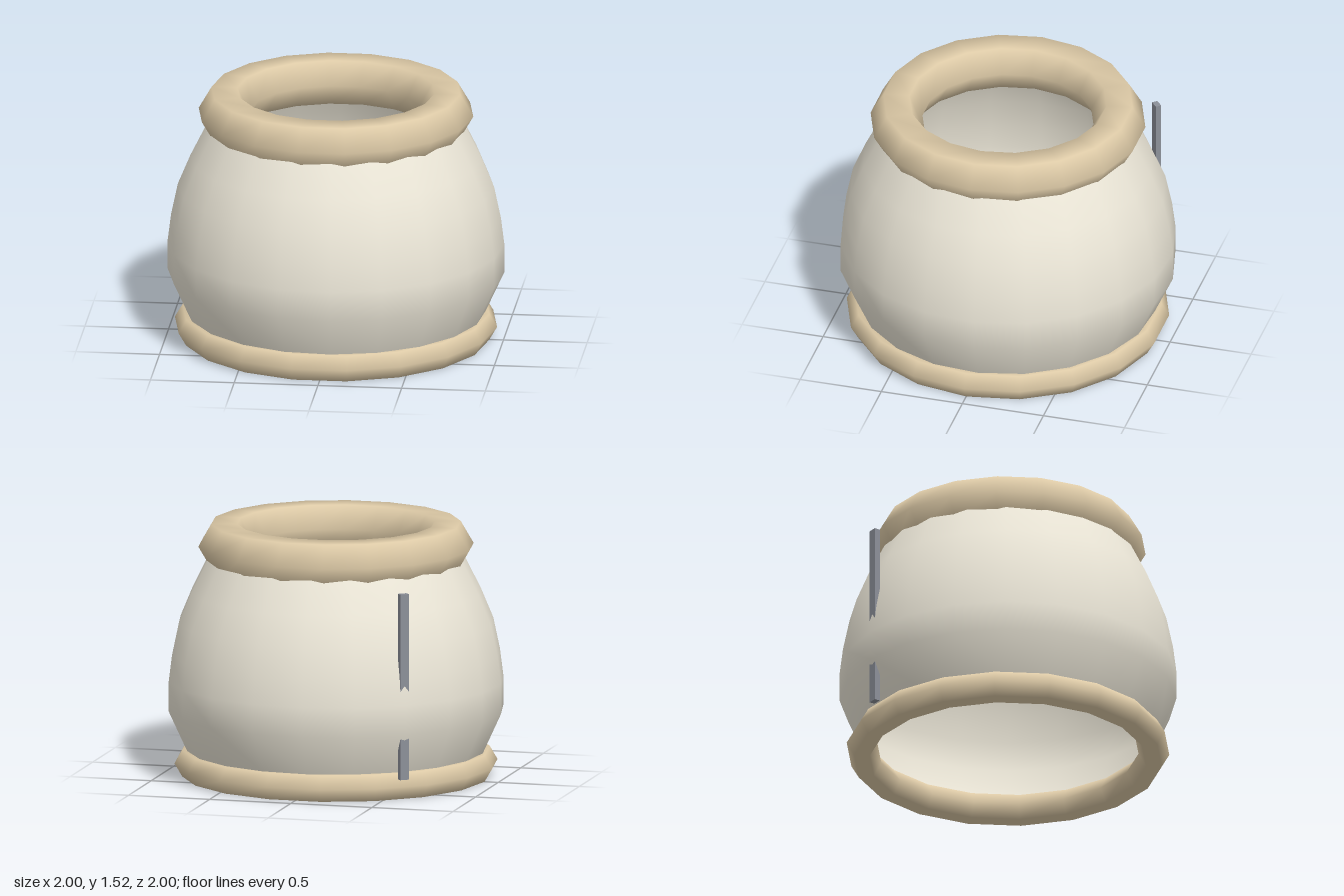
import * as THREE from 'three';

export function createModel() {
  const model = new THREE.Group();
  const cream = new THREE.MeshStandardMaterial({ color: 0xece7d8, side: THREE.DoubleSide });
  const tan = new THREE.MeshStandardMaterial({ color: 0xdcc9a6 });
  const grey = new THREE.MeshStandardMaterial({ color: 0x8c9099 });

  const add = (name, geometry, material) => {
    const mesh = new THREE.Mesh(geometry, material);
    mesh.name = name;
    model.add(mesh);
    return mesh;
  };

  // Bulging open shell, its facets turned slightly off the axes
  const profile = [
    [0.83, 0.04], [0.89, 0.16], [1, 0.4], [1, 0.58], [0.98, 0.74],
    [0.94, 0.93], [0.865, 1.11], [0.77, 1.3], [0.72, 1.38],
  ].map(([r, y]) => new THREE.Vector2(r, y));
  add('body', new THREE.LatheGeometry(profile, 20, 0.07), cream);

  // Rounded rings at the mouth and the foot
  const ring = (name, radius, tube, y) => {
    const geometry = new THREE.TorusGeometry(radius, tube, 6, 18).rotateX(-Math.PI / 2);
    add(name, geometry, tan).position.y = y;
  };
  ring('rimRing', 0.665, 0.155, 1.386);
  ring('baseRing', 0.87, 0.092, 0.08);

  // Upright strip, partly sunk into the back wall
  const angle = THREE.MathUtils.degToRad(220);
  const strip = add('backStrip', new THREE.BoxGeometry(0.055, 1.12, 0.035), grey);
  strip.position.set(Math.sin(angle) * 0.968, 0.69, Math.cos(angle) * 0.968);
  strip.rotation.y = angle;

  return model;
}
